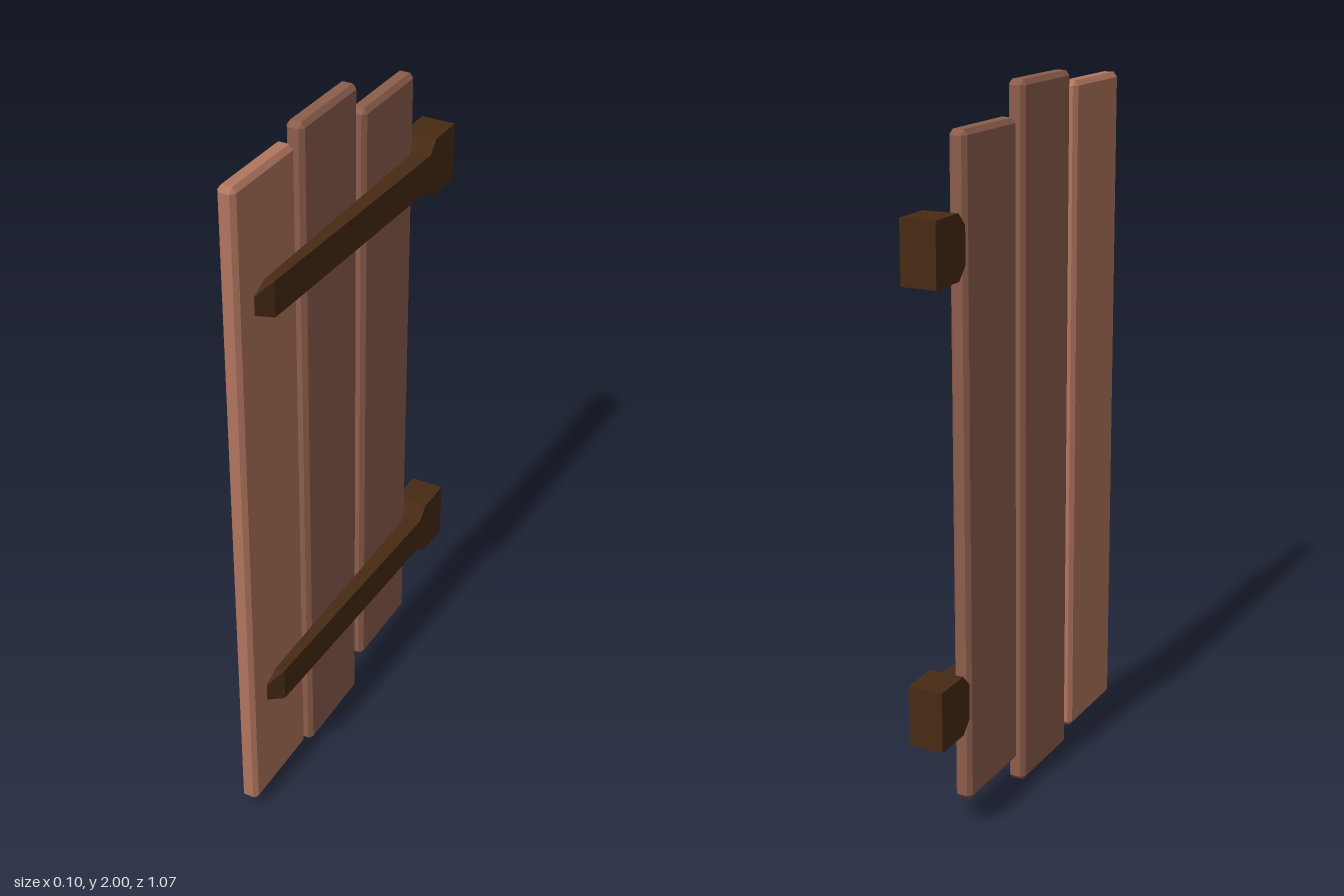
import * as THREE from 'three';
import { ConvexGeometry } from 'three/addons/geometries/ConvexGeometry.js';

const paint = (color) => new THREE.MeshStandardMaterial({ color, flatShading: true });

// Box with every edge chamfered
function chamferedBox(w, h, d, cx, c) {
  const points = [];
  for (const sx of [-1, 1]) for (const sy of [-1, 1]) for (const sz of [-1, 1]) {
    const x = w / 2, y = h / 2, z = d / 2;
    for (const [px, py, pz] of [[x, y - c, z - c], [x - cx, y, z - c], [x - cx, y - c, z]]) {
      points.push(new THREE.Vector3(sx * px, sy * py, sz * pz));
    }
  }
  return new ConvexGeometry(points);
}

// Rectangular cross-sections [z, xMin, xMax, halfHeight] joined along z
function loftAlongZ(sections) {
  const positions = [], index = [];
  for (const [z, x0, x1, h] of sections) {
    positions.push(x0, -h, z, x1, -h, z, x1, h, z, x0, h, z);
  }
  for (let i = 0; i < sections.length - 1; i++) {
    for (let k = 0; k < 4; k++) {
      const a = i * 4 + k, b = i * 4 + (k + 1) % 4;
      index.push(a, b, b + 4, a, b + 4, a + 4);
    }
  }
  const e = (sections.length - 1) * 4;
  index.push(0, 2, 1, 0, 3, 2, e, e + 1, e + 2, e, e + 2, e + 3);
  const indexed = new THREE.BufferGeometry();
  indexed.setAttribute('position', new THREE.Float32BufferAttribute(positions, 3));
  indexed.setIndex(index);
  const geometry = indexed.toNonIndexed();
  geometry.computeVertexNormals();
  return geometry;
}

export function createModel() {
  const model = new THREE.Group();
  model.name = 'shutter';
  const lightWood = paint(0xb0755d), wood = paint(0x8b5d4b), darkWood = paint(0x472a14);

  // Three upright planks of uneven length
  const planks = [
    ['frontPlank', 0.391, 0.04, 1.967, lightWood],
    ['middlePlank', 0.075, 0.005, 2, wood],
    ['rearPlank', -0.243, 0.097, 1.91, wood],
  ];
  for (const [name, z, bottom, top, material] of planks) {
    const plank = new THREE.Mesh(chamferedBox(0.05, top - bottom, 0.286, 0.01, 0.014), material);
    plank.name = name;
    plank.position.set(-0.025, (bottom + top) / 2, z);
    model.add(plank);
  }

  // Hinge straps: square block, tapered shoulder, thinning arm and pointed tip
  const strap = loftAlongZ([
    [-0.535, -0.05, 0.05, 0.085],
    [-0.42, -0.05, 0.05, 0.085],
    [-0.387, -0.05, 0.05, 0.05],
    [-0.387, 0, 0.05, 0.05],
    [0.407, 0, 0.027, 0.05],
    [0.458, 0, 0.001, 0.026],
  ]);
  for (const [name, y] of [['lowerHinge', 0.396], ['upperHinge', 1.628]]) {
    const hinge = new THREE.Mesh(strap, darkWood);
    hinge.name = name;
    hinge.position.y = y;
    model.add(hinge);
  }
  return model;
}
